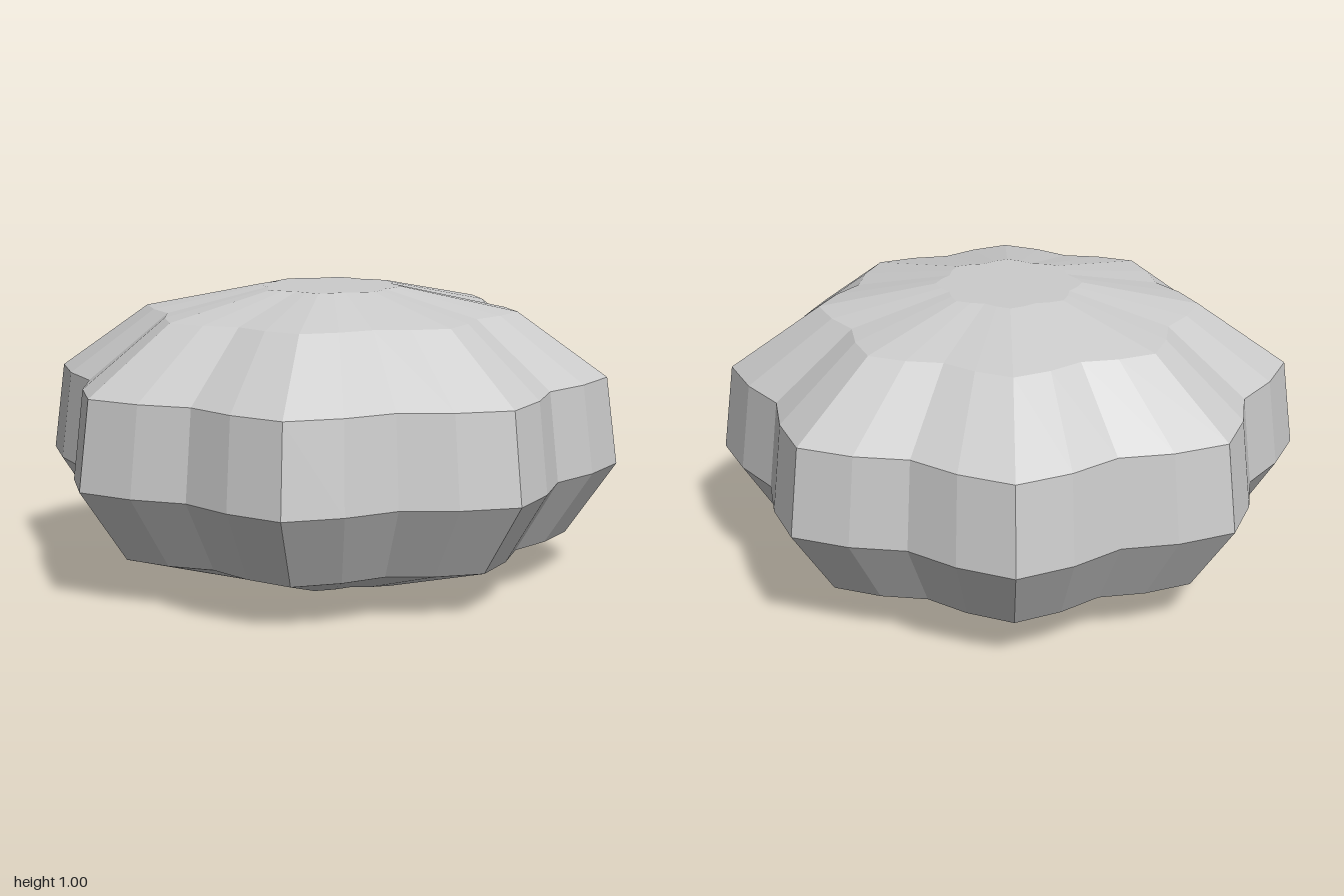
import * as THREE from 'three';

const SIDES = 32;
const LOBES = 8;

// Radius and height of each ring, bottom to top, with flat caps
const PROFILE = [
  [0, 0], [0.35, 0], [0.83, 0.15], [1, 0.4],
  [0.96, 0.7], [0.65, 0.92], [0.25, 1], [0, 1],
];

// Radial scale: full at each lobe tip, pinched in the valleys
const lobeScale = (angle) => 0.9375 + 0.0625 * Math.cos(LOBES * angle);

export function createModel() {
  const group = new THREE.Group();
  group.name = 'lobedGourd';

  // Turned body, then scalloped into eight lobes
  const geometry = new THREE.LatheGeometry(
    PROFILE.map(([r, y]) => new THREE.Vector2(r, y)), SIDES);
  const pos = geometry.attributes.position;
  for (let i = 0; i < pos.count; i++) {
    const x = pos.getX(i);
    const z = pos.getZ(i);
    const s = lobeScale(Math.atan2(x, z));
    pos.setX(i, x * s);
    pos.setZ(i, z * s);
  }
  geometry.computeVertexNormals();

  const body = new THREE.Mesh(geometry,
    new THREE.MeshStandardMaterial({ color: 0xcccccc, flatShading: true }));
  body.name = 'body';
  group.add(body);
  return group;
}
